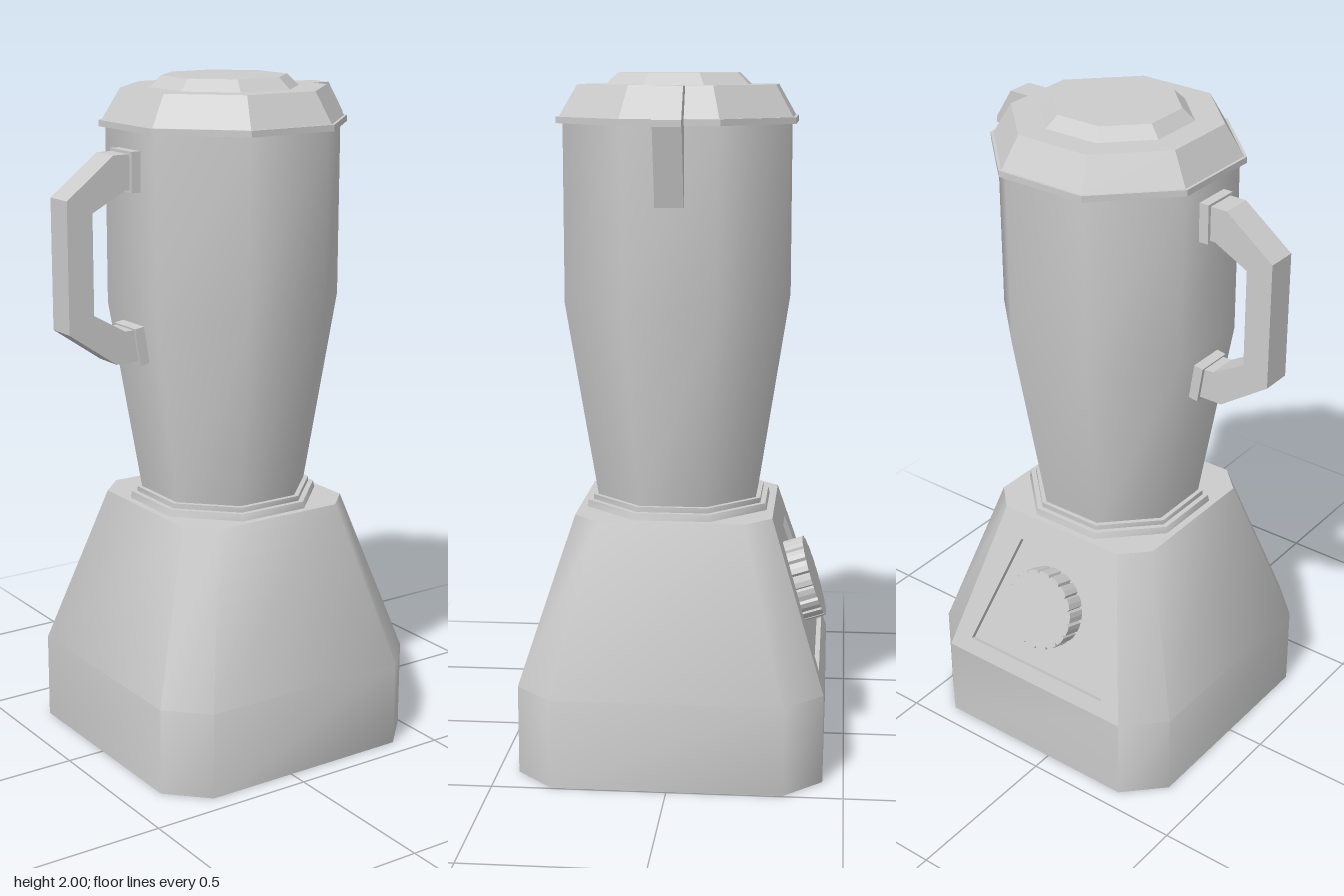
import * as THREE from 'three';
import { toCreasedNormals } from 'three/addons/utils/BufferGeometryUtils.js';

const AXIS = 0.055; // x of the vertical axis of base, jar and lid
const OCT = Math.SQRT2 - 1; // flat half-width of a regular octagon with apothem 1

const material = new THREE.MeshStandardMaterial({ color: 0xcccccc });

function addMesh(parent, name, geometry, x = 0, y = 0, z = 0) {
  const mesh = new THREE.Mesh(geometry, material);
  mesh.name = name;
  mesh.position.set(x, y, z);
  parent.add(mesh);
  return mesh;
}

// Stack of eight-sided sections [y, half width, flat half width]; skip(section, side) leaves a wall open
function octagonLoft(sections, crease, skip = () => false) {
  const positions = [], index = [];
  for (const [y, h, f = h * OCT] of sections) {
    for (const [x, z] of [[h, f], [h, -f], [f, -h], [-f, -h], [-h, -f], [-h, f], [-f, h], [f, h]]) {
      positions.push(x, y, z);
    }
  }
  const last = sections.length - 1;
  positions.push(0, sections[0][0], 0, 0, sections[last][0], 0);
  const bottom = (last + 1) * 8, top = bottom + 1;
  for (let i = 0; i < 8; i++) {
    const j = (i + 1) % 8;
    for (let s = 0; s < last; s++) {
      if (skip(s, i)) continue;
      const a = s * 8 + i, b = s * 8 + j;
      index.push(a, b, b + 8, a, b + 8, a + 8);
    }
    index.push(bottom, j, i, top, last * 8 + i, last * 8 + j);
  }
  const geometry = new THREE.BufferGeometry();
  geometry.setAttribute('position', new THREE.Float32BufferAttribute(positions, 3));
  geometry.setIndex(index);
  return toCreasedNormals(geometry, crease);
}

const toPoints = (list) => list.map(([x, y]) => new THREE.Vector2(x, y));

// Outline in the xy plane, extruded symmetrically about z = 0
function slab(points, width) {
  const geometry = new THREE.ExtrudeGeometry(new THREE.Shape(toPoints(points)), { depth: width, bevelEnabled: false });
  return geometry.translate(0, 0, -width / 2);
}

export function createModel() {
  const model = new THREE.Group();
  model.name = 'blender';

  // Motor base; its sloping back wall is replaced by the recessed control panel
  const y0 = 0.26, y1 = 0.745, h0 = 0.44, h1 = 0.285, f0 = 0.33, f1 = 0.21;
  addMesh(model, 'base', octagonLoft([[0, h0, f0], [y0, h0, f0], [y1, h1, f1]], 0.85,
    (section, side) => section === 1 && side === 2), AXIS);
  addMesh(model, 'collar', octagonLoft([[0.74, 0.265], [0.765, 0.26], [0.765, 0.245], [0.78, 0.245]], 0.85), AXIS);

  // Control panel, lying in the plane of the sloping back wall
  const panel = new THREE.Group();
  panel.name = 'controlPanel';
  panel.position.set(AXIS, y0, -h0);
  panel.rotation.set(Math.atan2(h0 - h1, y1 - y0), Math.PI, 0);
  model.add(panel);
  const slope = Math.hypot(h0 - h1, y1 - y0);
  const recess = toPoints([[-0.255, 0.05], [0.255, 0.05], [0.135, 0.43], [-0.135, 0.43]]);
  const wall = new THREE.Shape(toPoints([[-f0, 0], [f0, 0], [f1, slope], [-f1, slope]]));
  wall.holes.push(new THREE.Path(recess));
  addMesh(panel, 'backWall', new THREE.ExtrudeGeometry(wall, { depth: 0.02, bevelEnabled: false }), 0, 0, -0.02);
  addMesh(panel, 'recessFloor', new THREE.ShapeGeometry(new THREE.Shape(recess)), 0, 0, -0.015);

  // Dial with shallow grip grooves
  const dial = [];
  const ribs = 18;
  for (let i = 0; i < ribs; i++) {
    for (const [t, r] of [[0.08, 0.122], [0.45, 0.123], [0.82, 0.122], [0.95, 0.113]]) {
      const a = (i + t) / ribs * Math.PI * 2;
      dial.push([r * Math.cos(a), r * Math.sin(a)]);
    }
  }
  addMesh(panel, 'dial', slab(dial, 0.06), 0, 0.258, 0.015);

  // Jar with pouring spout
  addMesh(model, 'jar', octagonLoft([[0.77, 0.23], [1.35, 0.32], [1.87, 0.32]], 0.85), AXIS);
  addMesh(model, 'spout', slab([[0.36, 1.64], [0.385, 1.64], [0.445, 1.86], [0.36, 1.86]], 0.08));

  // Lid with raised centre and a tab that covers the spout
  addMesh(model, 'lid', octagonLoft([
    [1.86, 0.338], [1.878, 0.338], [1.878, 0.33], [1.967, 0.28], [1.967, 0.203], [2, 0.17],
  ], 0.5), AXIS);
  addMesh(model, 'spoutCover', slab([
    [0.33, 1.86], [0.455, 1.86], [0.455, 1.878], [0.4, 1.966], [0.33, 1.966],
  ], 0.08));

  // Handle with its two mounting plates
  addMesh(model, 'handle', slab([
    [-0.26, 1.8], [-0.345, 1.8], [-0.495, 1.685], [-0.495, 1.31], [-0.345, 1.207], [-0.23, 1.207],
    [-0.23, 1.3], [-0.315, 1.3], [-0.415, 1.357], [-0.415, 1.645], [-0.31, 1.7], [-0.26, 1.7],
  ], 0.092));
  addMesh(model, 'upperMount', new THREE.BoxGeometry(0.035, 0.115, 0.114), -0.277, 1.75, 0);
  const lower = addMesh(model, 'lowerMount', new THREE.BoxGeometry(0.035, 0.11, 0.114), -0.262, 1.253, 0);
  lower.rotation.z = Math.atan2(0.09, 0.58);

  return model;
}
